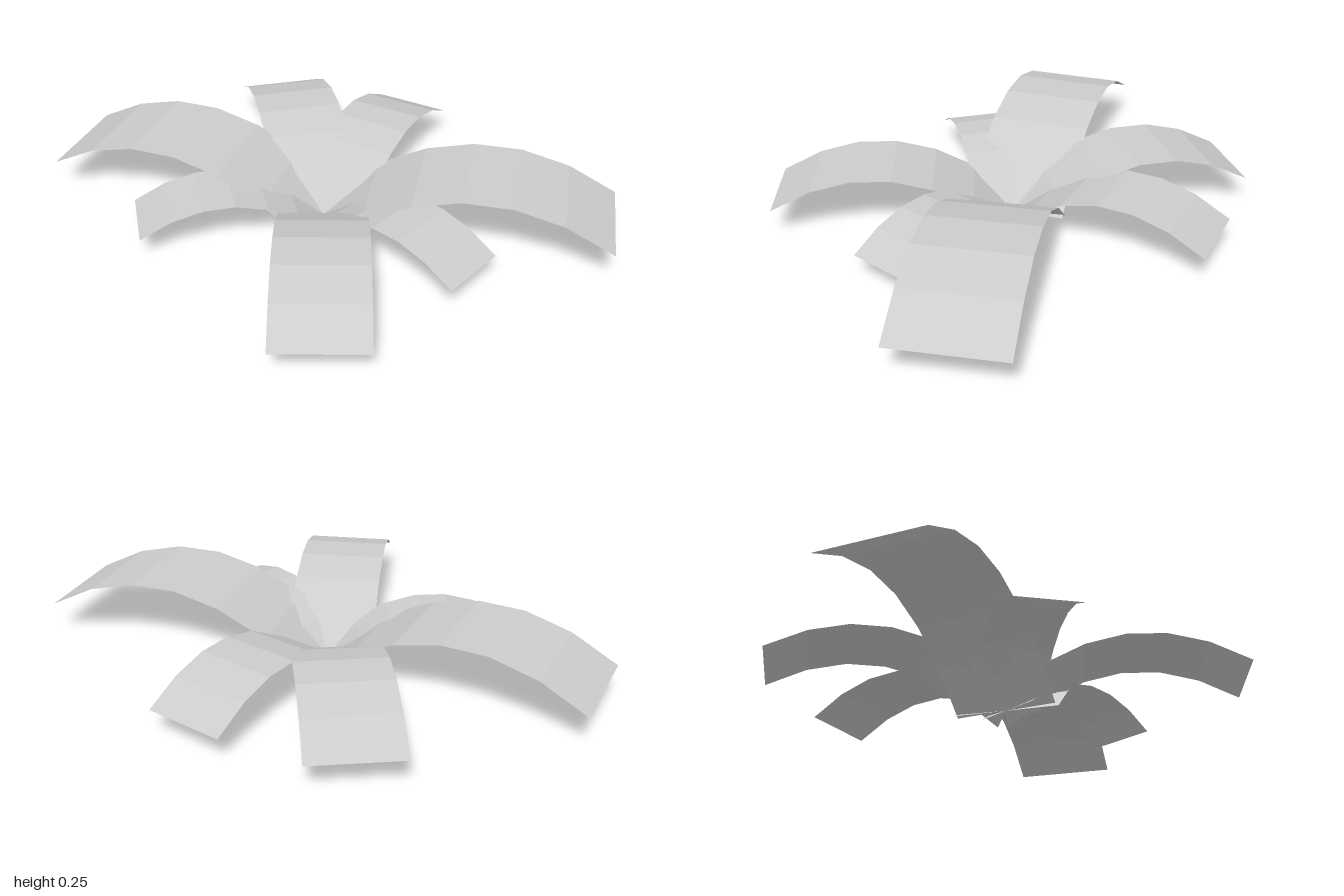
import * as THREE from 'three';

const SEGMENTS = 6;

// A curved strip leaf growing from the root towards +z, rising and then drooping
function leafGeometry(length) {
  const geometry = new THREE.PlaneGeometry(0.373 * length, length, 1, SEGMENTS);
  geometry.rotateX(-Math.PI / 2);
  geometry.translate(0, 0, length / 2);
  const pos = geometry.attributes.position;
  for (let i = 0; i < pos.count; i++) {
    const t = pos.getZ(i) / length;
    pos.setY(i, length * (0.88 * t - 0.76 * t * t));
  }
  geometry.computeVertexNormals();
  return geometry;
}

export function createModel() {
  const plant = new THREE.Group();
  plant.name = 'plant';
  const leafGrey = new THREE.MeshStandardMaterial({
    color: 0xcccccc, flatShading: true, side: THREE.DoubleSide,
  });
  leafGrey.name = 'leafGrey';

  // name, heading from +z towards +x, length
  const leaves = [
    ['frontLeaf', -0.018, 0.833],
    ['leftLeaf', 1.342, 1.004],
    ['backLeftLeaf', 2.63, 0.75],
    ['backLeaf', -2.928, 0.828],
    ['rightLeaf', -1.931, 0.977],
    ['smallRightLeaf', -1.36, 0.655],
    ['smallFrontLeaf', 0.829, 0.651],
  ];
  for (const [name, heading, length] of leaves) {
    const leaf = new THREE.Mesh(leafGeometry(length), leafGrey);
    leaf.name = name;
    leaf.rotation.y = heading;
    leaf.position.x = -0.023;
    plant.add(leaf);
  }
  return plant;
}
